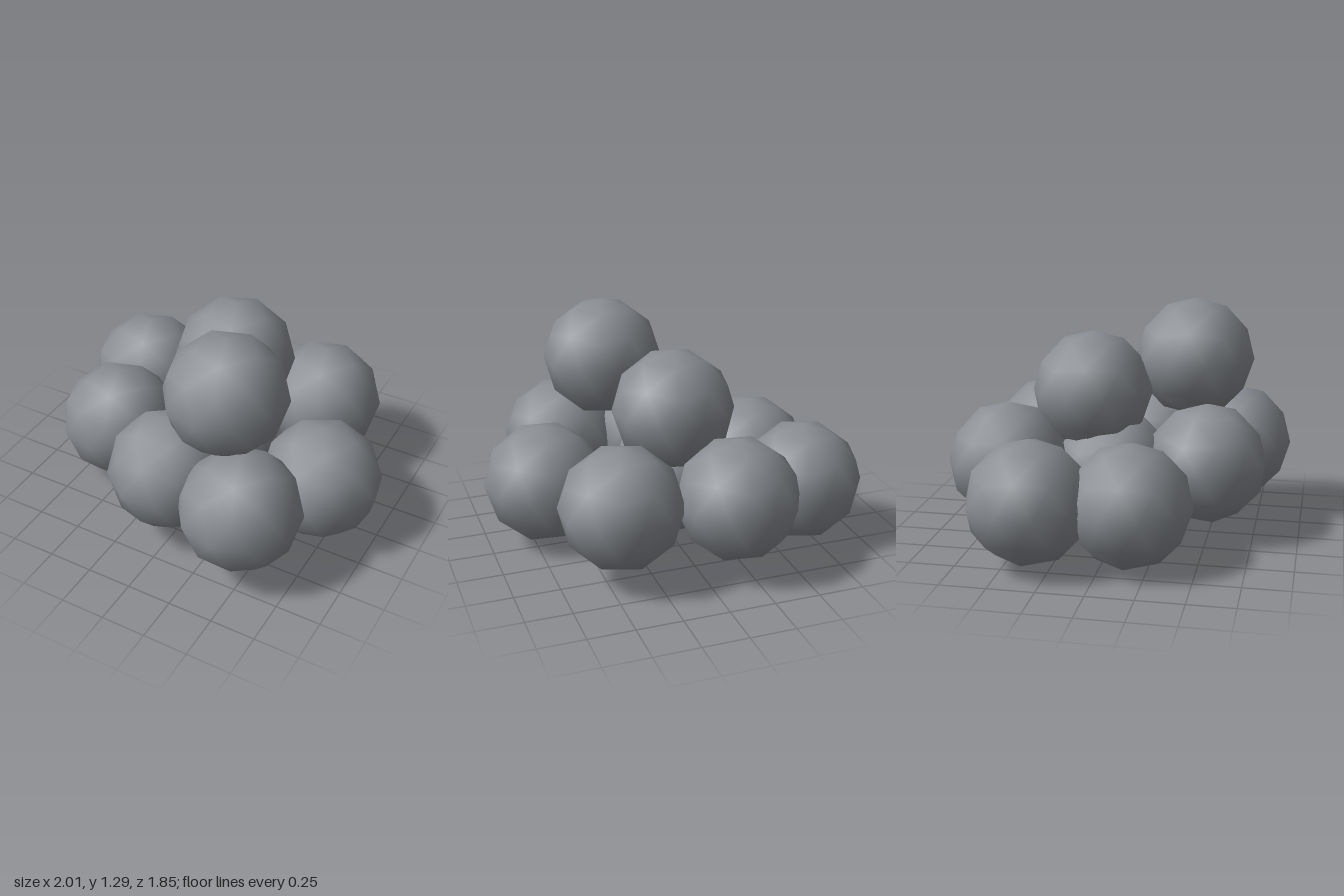
import * as THREE from 'three';

export function createModel() {
  const group = new THREE.Group();
  group.name = 'ballPile';
  const iron = new THREE.MeshStandardMaterial({ color: 0x8a8e93 });
  iron.name = 'iron grey';

  // Low-poly ball, turned so that a five-sided corner points up
  const t = (1 + Math.sqrt(5)) / 2;
  const ball = new THREE.IcosahedronGeometry(0.335, 1);
  ball.rotateZ(-Math.atan(1 / t));

  const addBall = (name, x, y, z, spin = 0) => {
    const mesh = new THREE.Mesh(ball, iron);
    mesh.name = name;
    mesh.position.set(x, y, z);
    mesh.rotation.y = spin;
    group.add(mesh);
  };

  // Bottom layer
  addBall('centreBall', -0.025, 0.355, -0.04, 0.1);
  addBall('rightBall', -0.583, 0.338, 0.148);
  addBall('backRightBall', -0.682, 0.36, -0.36);
  addBall('backBall', -0.2, 0.425, -0.598, 0.15);
  addBall('backLeftBall', 0.412, 0.425, -0.502);
  addBall('leftBall', 0.678, 0.36, 0.088, 0.2);
  addBall('frontLeftBall', 0.445, 0.425, 0.585);
  addBall('frontBall', -0.047, 0.425, 0.486, 0.314);

  // Upper balls
  addBall('upperBackBall', 0.008, 0.797, -0.165, 0.08);
  addBall('topBall', 0.245, 0.957, 0.375);

  return group;
}
